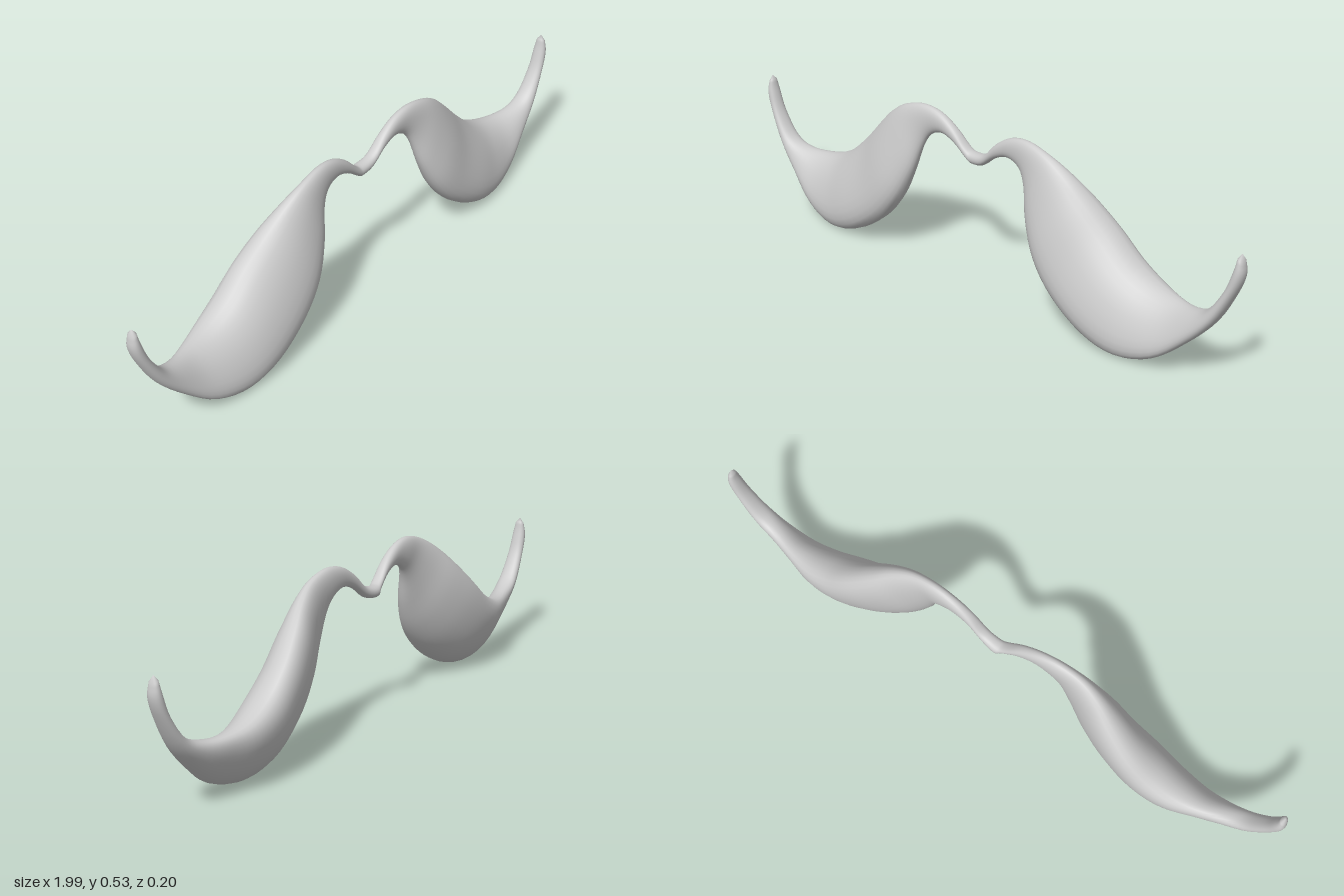
import * as THREE from 'three';

// Stations from the middle to one tip:
// upper edge x, y, lower edge x, y, front z, back z, lean of the section
const STATIONS = [
  [0.04, 0.437, 0.03, 0.397, 0.012, -0.028, 0],
  [0.09, 0.485, 0.085, 0.437, 0.015, -0.022, 0],
  [0.15, 0.52, 0.14, 0.455, 0.018, -0.02, 0],
  [0.22, 0.53, 0.19, 0.437, 0.024, -0.02, 0],
  [0.30, 0.51, 0.22, 0.39, 0.036, -0.022, 0.005],
  [0.37, 0.47, 0.25, 0.295, 0.06, -0.04, 0.02],
  [0.44, 0.41, 0.30, 0.195, 0.082, -0.07, 0.035],
  [0.52, 0.335, 0.38, 0.105, 0.09, -0.093, 0.045],
  [0.60, 0.265, 0.50, 0.03, 0.092, -0.1, 0.045],
  [0.68, 0.222, 0.62, 0.005, 0.08, -0.09, 0.045],
  [0.76, 0.205, 0.74, 0.04, 0.06, -0.063, 0.038],
  [0.83, 0.21, 0.84, 0.12, 0.042, -0.042, 0.018],
  [0.89, 0.238, 0.92, 0.208, 0.033, -0.032, 0.004],
  [0.94, 0.31, 0.975, 0.31, 0.026, -0.025, 0],
  [0.965, 0.38, 0.996, 0.37, 0.022, -0.022, 0],
  [0.974, 0.42, 0.993, 0.412, 0.014, -0.014, 0],
];
const MIDDLE = [-0.012, 0.425, -0.012, 0.388, 0.01, -0.035, 0];
const TIP = [0.984, 0.433, 0];

const SIDES = 28;
const STEPS = 4; // rings per station

function createHairGeometry() {
  // The full run of stations, from the -x tip to the +x tip
  const mirrored = STATIONS.map(([tx, ty, bx, by, ...depth]) => [-tx, ty, -bx, by, ...depth]).reverse();
  const all = [...mirrored, MIDDLE, ...STATIONS];
  const spline = (pick) =>
    new THREE.CatmullRomCurve3(all.map((s) => new THREE.Vector3(...pick(s))), false, 'catmullrom', 0.5);
  const upper = spline((s) => [s[0], s[1], 0]);
  const lower = spline((s) => [s[2], s[3], 0]);
  const depth = spline((s) => [s[4], s[5], s[6]]);

  const positions = [];
  const index = [];
  const rings = (all.length - 1) * STEPS + 1;
  const squarish = (v) => Math.sign(v) * Math.pow(Math.abs(v), 0.92);

  // Leaning oval sections: upper edge tips back, lower edge tips forward
  for (let i = 0; i < rings; i++) {
    const u = i / (rings - 1);
    const a = upper.getPoint(u);
    const b = lower.getPoint(u);
    const { x: front, y: back, z: lean } = depth.getPoint(u);
    const centre = (front + back) / 2;
    const half = (front - back) / 2;
    const thick = Math.sqrt(Math.max(half * half - lean * lean, 1e-5));
    for (let j = 0; j < SIDES; j++) {
      const angle = (j / SIDES) * Math.PI * 2;
      const c = squarish(Math.cos(angle));
      const s = squarish(Math.sin(angle));
      const p = b.clone().lerp(a, (1 + c) / 2);
      positions.push(p.x, p.y, centre + thick * s - lean * c);
    }
  }
  for (let i = 0; i < rings - 1; i++) {
    for (let j = 0; j < SIDES; j++) {
      const k = (j + 1) % SIDES;
      const p = i * SIDES + j;
      const q = i * SIDES + k;
      index.push(p, q, p + SIDES, q, q + SIDES, p + SIDES);
    }
  }

  // Pointed ends
  const startTip = rings * SIDES;
  const lastRing = (rings - 1) * SIDES;
  positions.push(-TIP[0], TIP[1], TIP[2], ...TIP);
  for (let j = 0; j < SIDES; j++) {
    const k = (j + 1) % SIDES;
    index.push(startTip, k, j, startTip + 1, lastRing + j, lastRing + k);
  }

  const geometry = new THREE.BufferGeometry();
  geometry.setAttribute('position', new THREE.Float32BufferAttribute(positions, 3));
  geometry.setIndex(index);
  geometry.computeVertexNormals();
  return geometry;
}

export function createModel() {
  const group = new THREE.Group();
  group.name = 'moustache';
  const hair = new THREE.Mesh(createHairGeometry(), new THREE.MeshStandardMaterial({ color: 0xcccccc }));
  hair.name = 'curledHair';
  group.add(hair);
  return group;
}
